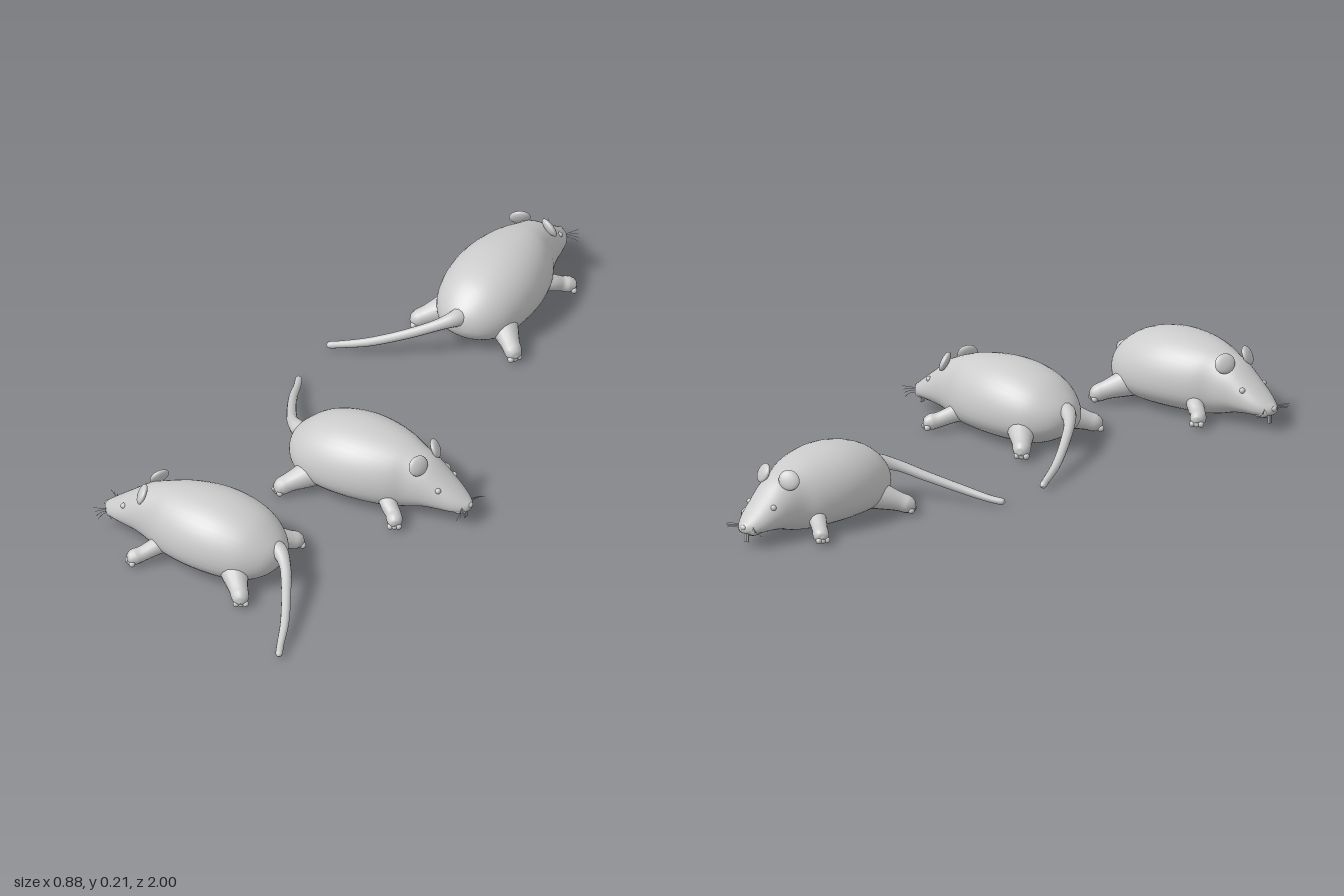
import * as THREE from 'three';

const grey = new THREE.MeshStandardMaterial({ color: 0xcccccc });
const V = (x, y, z) => new THREE.Vector3(x, y, z);

// Smooth closed-ring surface: point(t, angle) for t along the length
function ringSurface(rows, cols, point) {
  const pos = [], index = [];
  for (let i = 0; i <= rows; i++) {
    for (let j = 0; j < cols; j++) {
      const p = point(i / rows, (j / cols) * Math.PI * 2);
      pos.push(p.x, p.y, p.z);
      if (i === rows) continue;
      const a = i * cols + j, b = i * cols + (j + 1) % cols;
      index.push(a, b, a + cols, b, b + cols, a + cols);
    }
  }
  const g = new THREE.BufferGeometry();
  g.setAttribute('position', new THREE.Float32BufferAttribute(pos, 3));
  g.setIndex(index);
  g.computeVertexNormals();
  return g;
}

// Round limb along [x, y, z, radius] stations
function limb(stations, rows = 24, cols = 14) {
  const path = new THREE.CatmullRomCurve3(stations.map(s => V(s[0], s[1], s[2])));
  const radii = new THREE.CatmullRomCurve3(stations.map((s, i) => V(s[3], i, 0)));
  const up = V(0, 1, 0);
  return ringSurface(rows, cols, (t, a) => {
    const dir = path.getTangent(t);
    const side = up.clone().cross(dir).normalize();
    const top = dir.clone().cross(side);
    const r = Math.max(radii.getPoint(t).x, 0.0003);
    return path.getPoint(t).addScaledVector(side, r * Math.cos(a)).addScaledVector(top, r * Math.sin(a));
  });
}

// Body and head in one skin: [z, half width, bottom, top], rump to nose
const SECTIONS = [
  [-0.127, 0.001, 0.088, 0.09], [-0.12, 0.036, 0.062, 0.116], [-0.098, 0.072, 0.036, 0.144],
  [-0.05, 0.108, 0.012, 0.181], [0.01, 0.126, 0.005, 0.203], [0.08, 0.131, 0.004, 0.213],
  [0.15, 0.122, 0.005, 0.21], [0.21, 0.103, 0.007, 0.2], [0.255, 0.08, 0.014, 0.186],
  [0.3, 0.067, 0.027, 0.166], [0.345, 0.056, 0.034, 0.13], [0.385, 0.043, 0.037, 0.098],
  [0.41, 0.028, 0.04, 0.078], [0.423, 0.013, 0.047, 0.067], [0.426, 0.001, 0.056, 0.058],
];

function bodyGeometry() {
  const widths = new THREE.CatmullRomCurve3(SECTIONS.map(s => V(s[1], 0, s[0])));
  const heights = new THREE.CatmullRomCurve3(SECTIONS.map(s => V(s[2], s[3], s[0])));
  return ringSurface(70, 40, (t, a) => {
    const w = widths.getPoint(t), h = heights.getPoint(t);
    const mid = h.x + (h.y - h.x) * 0.42;
    const c = Math.cos(a), s = Math.sin(a);
    const x = w.x * Math.sign(c) * Math.abs(c) ** 0.93;
    const y = s > 0 ? mid + (h.y - mid) * s : mid - (mid - h.x) * Math.abs(s) ** 0.85;
    return V(x, y, w.z);
  });
}

function ball(r, sx = 1, sy = 1, sz = 1) {
  return new THREE.SphereGeometry(r, 18, 12).scale(sx, sy, sz);
}

function createRat() {
  const rat = new THREE.Group();
  const add = (name, geometry, x = 0, y = 0, z = 0) => {
    const m = new THREE.Mesh(geometry, grey);
    m.name = name;
    m.position.set(x, y, z);
    rat.add(m);
    return m;
  };

  add('body', bodyGeometry());

  // Tail sweeps out to the left and down to the ground
  add('tail', limb([
    [0, 0.1, -0.08, 0.036], [0.008, 0.108, -0.118, 0.024], [0.04, 0.098, -0.155, 0.016],
    [0.11, 0.07, -0.2, 0.0135], [0.2, 0.04, -0.248, 0.012], [0.27, 0.023, -0.276, 0.01],
    [0.303, 0.018, -0.291, 0.009], [0.31, 0.017, -0.294, 0.0005],
  ], 50, 12));

  for (const s of [1, -1]) {
    const side = s > 0 ? 'left' : 'right';
    const frontX = s > 0 ? 0.142 : 0.13;

    // Front leg reaches outward and forward
    add(side + 'FrontLeg', limb([
      [s * 0.055, 0.06, 0.195, 0.03], [s * 0.09, 0.048, 0.22, 0.024],
      [s * (frontX - 0.022), 0.034, 0.245, 0.021], [s * (frontX - 0.006), 0.029, 0.259, 0.022],
      [s * (frontX + 0.008), 0.026, 0.267, 0.014], [s * (frontX + 0.012), 0.025, 0.27, 0.0005],
    ]));
    // Hind leg reaches outward and backward
    add(side + 'HindLeg', limb([
      [s * 0.07, 0.065, -0.01, 0.046], [s * 0.105, 0.05, -0.04, 0.034],
      [s * 0.132, 0.038, -0.065, 0.026], [s * 0.15, 0.03, -0.08, 0.024],
      [s * 0.163, 0.026, -0.088, 0.015], [s * 0.168, 0.025, -0.091, 0.0005],
    ]));
    // Toes
    for (let i = -1; i <= 1; i++) {
      add(side + 'FrontToe', ball(0.0085), s * (frontX + 0.006 - i * 0.006), 0.017, 0.265 + i * 0.01);
      add(side + 'HindToe', ball(0.009), s * (0.158 + i * 0.006), 0.017, -0.087 + i * 0.011);
    }

    // Ear: a thin cupped disc leaning back
    const ear = add(side + 'Ear', ball(0.03, 1, 0.9, 0.36), s * 0.046, 0.171, 0.287);
    ear.rotation.set(-0.45, s * 0.45, -s * 0.3);

    add(side + 'Eye', ball(0.008), s * 0.043, 0.107, 0.347);
    add(side + 'Cheek', ball(0.018, 0.8, 0.75, 1.1), s * 0.018, 0.05, 0.396);
    add(side + 'Tooth', new THREE.BoxGeometry(0.006, 0.026, 0.004), s * 0.004, 0.03, 0.408);

    // Whiskers
    for (let i = 0; i < 4; i++) {
      const curve = new THREE.QuadraticBezierCurve3(
        V(s * 0.022, 0.05 + i * 0.004, 0.405),
        V(s * 0.042, 0.056 + i * 0.004, 0.416 + i * 0.004),
        V(s * (0.062 - i * 0.005), 0.046 + i * 0.007, 0.415 + i * 0.008));
      add(side + 'Whisker', new THREE.TubeGeometry(curve, 8, 0.0007, 5));
    }
  }

  add('nose', ball(0.009, 1.1, 0.8, 0.8), 0, 0.061, 0.422);
  add('lowerJaw', ball(0.02, 0.8, 0.45, 1.5), 0, 0.037, 0.375);
  return rat;
}

export function createModel() {
  const model = new THREE.Group();
  model.name = 'rats';
  // Three copies: [name, x, z, heading]
  const places = [
    ['frontRat', -0.003, 0.69, -Math.PI / 2],
    ['middleRat', 0, 0.205, Math.PI / 2],
    ['backRat', 0.005, -0.56, Math.PI],
  ];
  for (const [name, x, z, heading] of places) {
    const rat = createRat();
    rat.name = name;
    rat.position.set(x, 0, z);
    rat.rotation.y = heading;
    model.add(rat);
  }
  return model;
}
